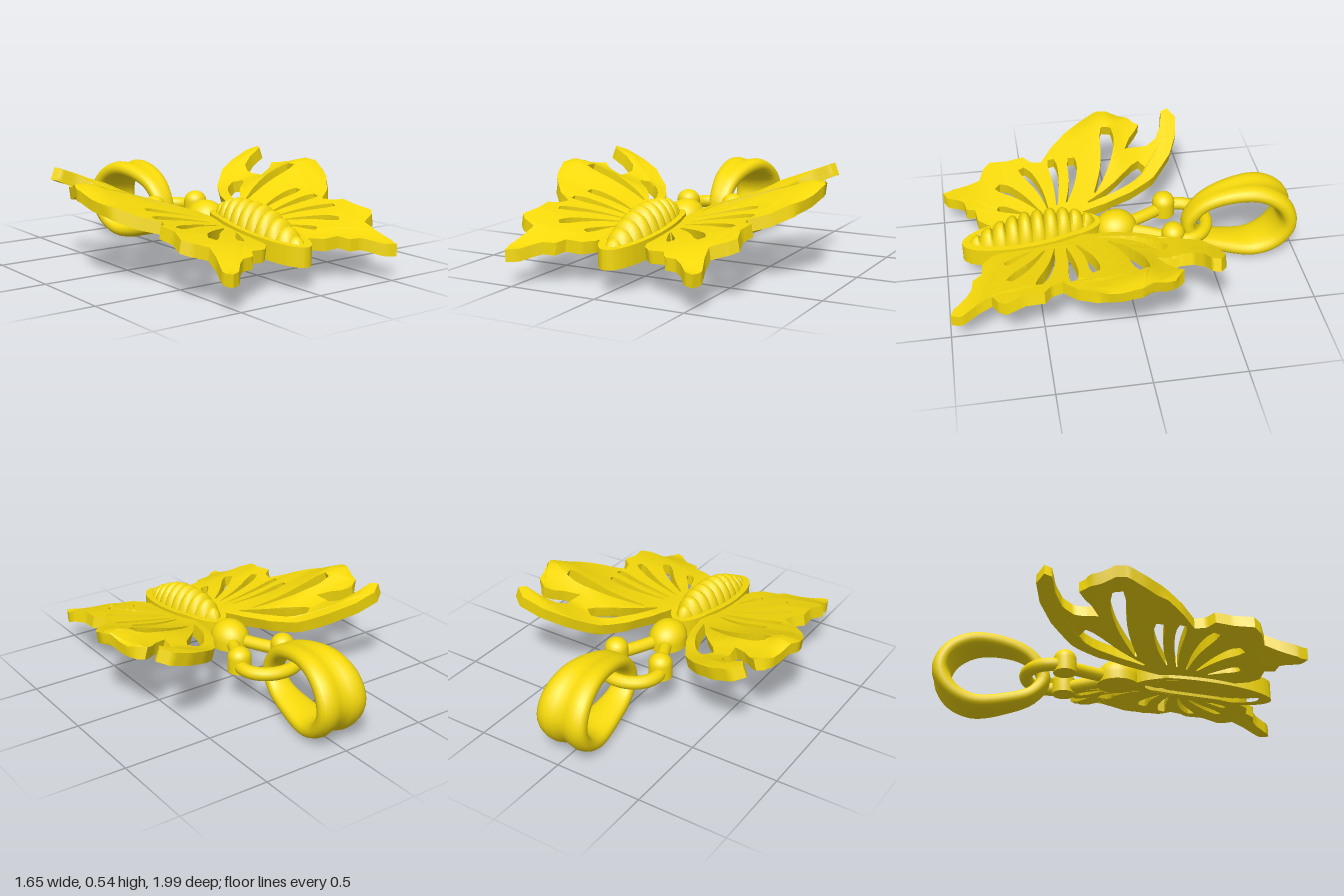
import * as THREE from 'three';
import { toCreasedNormals } from 'three/addons/utils/BufferGeometryUtils.js';

const gold = new THREE.MeshStandardMaterial({ color: 0xf5d90a });
const V2 = (x, y) => new THREE.Vector2(x, y);
const V3 = (x, y, z) => new THREE.Vector3(x, y, z);
const { clamp, lerp } = THREE.MathUtils;

function add(parent, name, geometry) {
  const mesh = new THREE.Mesh(geometry, gold);
  mesh.name = name;
  parent.add(mesh);
}

// The whole piece sags gently towards the tail
const sag = (z) => -0.07 * clamp((z - 0.3) / 0.6, 0, 1);

// Sideways rise of the wings at stations along z: a wavy, upswept front and a level tail
const RISE = [
  [-0.45, 0.38], [-0.35, 0.39], [-0.27, 0.32], [-0.18, 0.26], [-0.1, 0.28], [-0.03, 0.325],
  [0.04, 0.31], [0.1, 0.265], [0.2, 0.21], [0.33, 0.18], [0.6, 0.19], [0.75, 0.15],
  [0.95, -0.04], [1, -0.04],
];
function wingY(x, z) {
  const k = RISE.findIndex((r, i) => i > 0 && r[0] >= z);
  const [z0, r0] = RISE[k - 1], [z1, r1] = RISE[k];
  const rise = lerp(r0, r1, (z - z0) / (z1 - z0));
  const root = 0.245 + sag(z) + 0.025 * clamp((0.35 - z) / 0.25, 0, 1);
  const ax = Math.abs(x);
  return root + (ax - 0.12) * rise - Math.max(0, ax - 0.74) * 0.4;
}

// Split each triangle into four, so flat faces can bend
function subdivide(geo) {
  const p = geo.attributes.position, out = [];
  for (let i = 0; i < p.count; i += 3) {
    const [a, b, c] = [0, 1, 2].map((k) => V3().fromBufferAttribute(p, i + k));
    const [ab, bc, ca] = [[a, b], [b, c], [c, a]].map(([u, v]) => u.clone().lerp(v, 0.5));
    out.push(a, ab, ca, ab, b, bc, ca, bc, c, ab, bc, ca);
  }
  return new THREE.BufferGeometry().setFromPoints(out);
}

// Plate cut from a plan outline in (x, z), bent to a height rule
function plate(outline, holes, thickness, rule) {
  const flip = (pts) => pts.map((p) => V2(p.x, -p.y));
  const shape = new THREE.Shape(flip(outline));
  shape.holes = holes.map((h) => new THREE.Path(flip(h)));
  let geo = new THREE.ExtrudeGeometry(shape, { depth: thickness, bevelEnabled: false });
  geo = subdivide(subdivide(geo)).rotateX(-Math.PI / 2).translate(0, -thickness / 2, 0);
  const pos = geo.attributes.position;
  for (let i = 0; i < pos.count; i++) {
    const x = pos.getX(i), y = pos.getY(i), z = pos.getZ(i);
    // Lean the edges square to the bent surface
    const slope = (rule(x + 0.01, z) - rule(x - 0.01, z)) / 0.02;
    pos.setXYZ(i, x - slope * y, y + rule(x, z), z);
  }
  return toCreasedNormals(geo, 0.9);
}

// Surface through equal-sized closed cross-sections, either looped or capped
function loft(rings, looped, crease) {
  const n = rings[0].length, m = rings.length, idx = [];
  const pts = rings.flat();
  for (let i = 0; i < (looped ? m : m - 1); i++) {
    for (let j = 0; j < n; j++) {
      const a = i * n + j, b = i * n + (j + 1) % n;
      const c = ((i + 1) % m) * n + j, d = ((i + 1) % m) * n + (j + 1) % n;
      idx.push(a, b, d, a, d, c);
    }
  }
  if (!looped) {
    for (let j = 1; j < n - 1; j++) {
      const e = (m - 1) * n;
      idx.push(0, j + 1, j, e, e + j, e + j + 1);
    }
  }
  // Turn the faces outwards
  let volume = 0;
  for (let i = 0; i < idx.length; i += 3) {
    volume += pts[idx[i]].dot(pts[idx[i + 1]].clone().cross(pts[idx[i + 2]]));
  }
  if (volume < 0) idx.reverse();
  const geo = new THREE.BufferGeometry().setFromPoints(pts);
  geo.setIndex(idx);
  return toCreasedNormals(geo, crease);
}

const WING = [
  [0.10, 0.26], [0.14, 0.08], [0.20, -0.08], [0.29, -0.23], [0.42, -0.35], [0.55, -0.41],
  [0.67, -0.43], [0.73, -0.39], [0.71, -0.35], [0.62, -0.33], [0.55, -0.29], [0.52, -0.23],
  [0.53, -0.17], [0.52, -0.10], [0.60, -0.14], [0.69, -0.21], [0.76, -0.15], [0.79, -0.05],
  [0.82, 0.03], [0.79, 0.13], [0.73, 0.24], [0.65, 0.33], [0.55, 0.40], [0.57, 0.46],
  [0.62, 0.50], [0.61, 0.60], [0.64, 0.70], [0.60, 0.74], [0.52, 0.77], [0.53, 0.84],
  [0.56, 0.93], [0.54, 0.99], [0.49, 0.97], [0.43, 0.90], [0.39, 0.87], [0.32, 0.86],
  [0.29, 0.81], [0.20, 0.80], [0.15, 0.75], [0.10, 0.62],
];

// Slots between the veins: root x, z, tip x, z, half width, sideways bow
const SLOTS = [
  [0.17, 0.17, 0.40, -0.18, 0.042, -0.03],
  [0.23, 0.12, 0.67, -0.01, 0.042, -0.03],
  [0.20, 0.29, 0.53, 0.22, 0.028, -0.02],
  [0.20, 0.345, 0.56, 0.34, 0.026, -0.012],
  [0.19, 0.40, 0.53, 0.52, 0.027, -0.02],
  [0.19, 0.455, 0.43, 0.67, 0.03, -0.015],
  [0.17, 0.52, 0.26, 0.68, 0.022, 0],
];

// Teardrop slot, widest near its blunt tip
function slot([x0, z0, x1, z1, w, bow], side) {
  const dx = x1 - x0, dz = z1 - z0, len = Math.hypot(dx, dz), n = 8, pts = [];
  const at = (t, s) => {
    const off = s * w * Math.min(0.15 + t * 1.1, 1, Math.sqrt(Math.max(1.12 - t, 0) * 4))
      + bow * Math.sin(Math.PI * t);
    return V2(side * (x0 + dx * t - (dz / len) * off), z0 + dz * t + (dx / len) * off);
  };
  for (let i = 0; i <= n; i++) pts.push(at(i / n, 1));
  for (let i = n; i >= 0; i--) pts.push(at(i / n, -1));
  return pts;
}

// Long oval of the body in plan
function bodyOval(scale) {
  const pts = [];
  for (let i = 0; i < 40; i++) {
    const a = (i / 40) * Math.PI * 2;
    pts.push(V2(0.14 * scale * Math.sin(a), 0.51 - 0.39 * (0.2 + 0.8 * scale) * Math.cos(a)));
  }
  return pts;
}

export function createModel() {
  const model = new THREE.Group();
  model.name = 'butterflyPendant';

  // Pierced wings
  for (const side of [1, -1]) {
    const outline = WING.map(([x, z]) => V2(side * x, z));
    const holes = SLOTS.map((s) => slot(s, side));
    add(model, side > 0 ? 'leftWing' : 'rightWing', plate(outline, holes, 0.066, wingY));
  }

  // Raised rim around the abdomen
  add(model, 'bodyRim', plate(bodyOval(1), [bodyOval(0.78)], 0.105, (x, z) => 0.2475 + sag(z)));

  // Ribbed abdomen with a flat underside
  const ribs = 10, steps = ribs * 6, rings = [];
  for (let i = 0; i <= steps; i++) {
    const t = i / steps, z = 0.15 + 0.72 * t;
    const swell = Math.sqrt(Math.max(1 - Math.pow(2 * t - 1, 2), 0.02));
    const rib = Math.abs(Math.sin(Math.PI * ribs * t));
    const taper = 1 - 0.6 * Math.max(0, t - 0.6);
    const h = (0.07 + 0.125 * swell) * (0.74 + 0.26 * Math.sqrt(rib)) * taper;
    const w = 0.117 * swell * (0.92 + 0.08 * rib), ring = [];
    for (let j = 0; j <= 14; j++) {
      const a = (j / 14) * Math.PI;
      ring.push(V3(w * Math.cos(a), 0.225 + sag(z) + h * Math.sin(a), z));
    }
    rings.push(ring);
  }
  add(model, 'abdomen', loft(rings, false, 0.7));

  // Domes on a short straight wall, used for the head and the antenna tips
  const dome = (name, x, z, rx, rz, wall, top) => {
    const profile = [V2(0, 0), V2(1, 0)];
    for (let i = 0; i <= 8; i++) {
      const a = (i / 8) * Math.PI / 2;
      profile.push(V2(Math.cos(a), wall + (top - wall) * Math.sin(a)));
    }
    const geo = new THREE.LatheGeometry(profile, 24).scale(rx, 1, rz).translate(x, 0.195, z);
    add(model, name, toCreasedNormals(geo, 0.7));
  };
  dome('head', 0, 0.035, 0.105, 0.118, 0.045, 0.145);

  // Antennae
  for (const side of [1, -1]) {
    const path = new THREE.CatmullRomCurve3([
      V3(side * 0.03, 0.235, -0.03), V3(side * 0.075, 0.235, -0.13), V3(side * 0.145, 0.235, -0.265)]);
    add(model, 'antenna', new THREE.TubeGeometry(path, 10, 0.036, 12));
    dome('antennaTip', side * 0.145, -0.265, 0.066, 0.064, 0.08, 0.138);
  }

  // Hanging loop joining the antenna tips
  const arc = [];
  for (let i = 0; i <= 12; i++) {
    const a = -0.42 + (i / 12) * (Math.PI + 0.84);
    arc.push(V3(0.168 * Math.cos(a), 0.235, -0.335 - 0.145 * Math.sin(a)));
  }
  add(model, 'hangingLoop', new THREE.TubeGeometry(new THREE.CatmullRomCurve3(arc), 36, 0.037, 12));

  // Bail: an egg-shaped band that widens to the back, grooved along its outside
  const band = new THREE.CatmullRomCurve3([
    [0.22, -0.38], [0.345, -0.455], [0.41, -0.60], [0.418, -0.78], [0.345, -0.905],
    [0.23, -0.95], [0.115, -0.895], [0.048, -0.77], [0.07, -0.58], [0.125, -0.44],
  ].map(([y, z]) => V3(0, y, z)), true);
  const sections = [];
  for (let i = 0; i < 48; i++) {
    const p = band.getPointAt(i / 48), t = band.getTangentAt(i / 48);
    const out = V3(0, -t.z, t.y);
    const back = clamp((-p.z - 0.375) / 0.575, 0, 1);
    const w = 0.062 + 0.088 * back, ring = [];
    for (let j = 0; j < 24; j++) {
      const a = (j / 24) * Math.PI * 2, c = Math.cos(a), s = Math.sin(a);
      const groove = s > 0 ? 0.03 * back * Math.max(0, 1 - Math.abs(c) * 1.8) : 0;
      const r = (0.04 + 0.015 * back) * Math.sign(s) * Math.pow(Math.abs(s), 0.7) - groove;
      ring.push(p.clone().addScaledVector(out, r).setX(w * c));
    }
    sections.push(ring);
  }
  add(model, 'bail', loft(sections, true, 0.8));

  return model;
}
